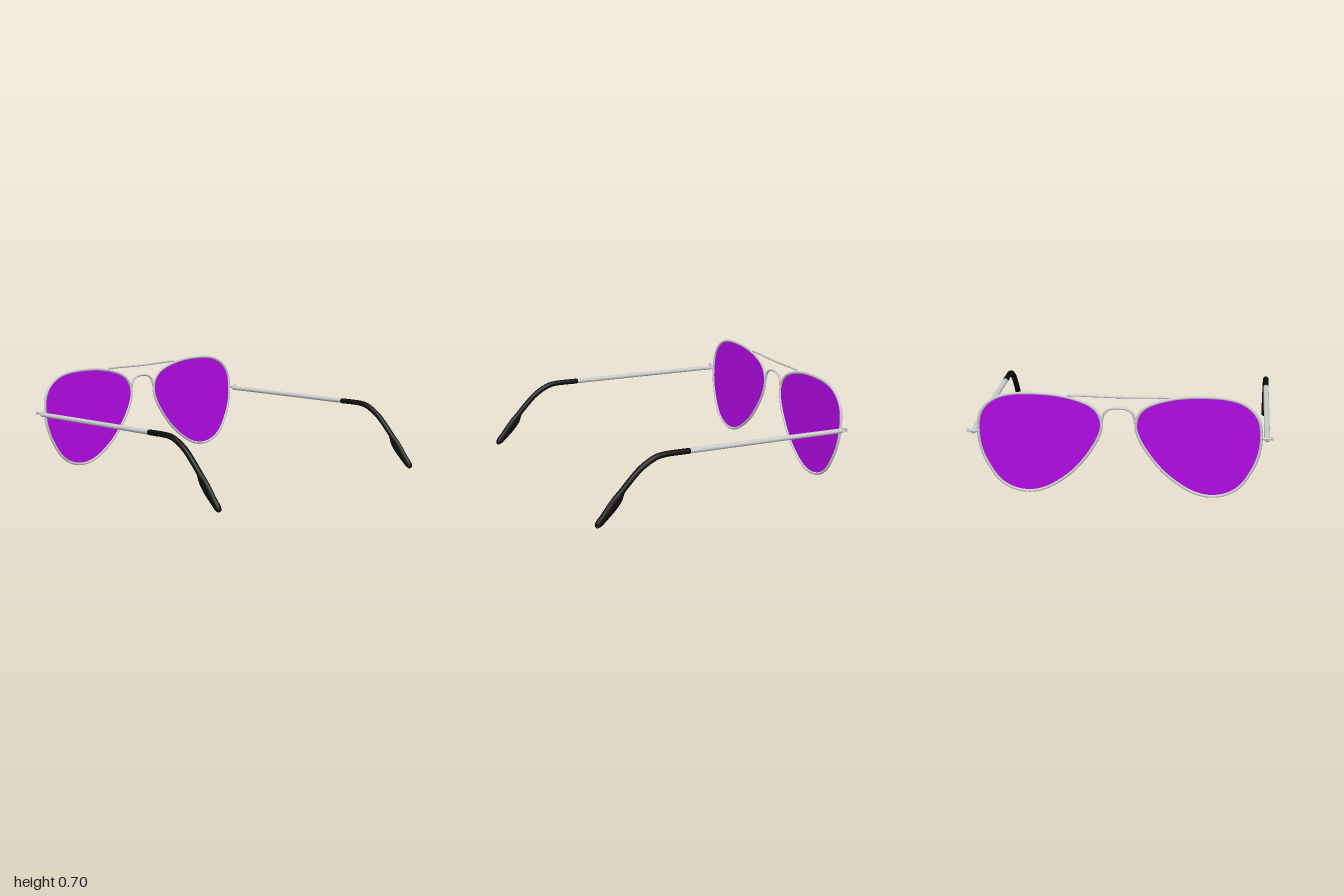
import * as THREE from 'three';

const metal = new THREE.MeshStandardMaterial({ color: 0xcccccc });
const black = new THREE.MeshStandardMaterial({ color: 0x0c0c0c });
const tint = new THREE.MeshStandardMaterial({ color: 0xb30ae6, side: THREE.DoubleSide });

// the front leans: everything in it lies on this tilted plane
const onFront = (x, y) => new THREE.Vector3(x, y, -0.891 - 0.058 * y);

function addMesh(parent, name, geometry, material) {
  const mesh = new THREE.Mesh(geometry, material);
  mesh.name = name;
  parent.add(mesh);
  return mesh;
}

// teardrop outline of one lens (wire centre line)
const OUTLINE = [
  [0.922, 0.41], [0.911, 0.54], [0.864, 0.618], [0.786, 0.671], [0.685, 0.696], [0.525, 0.702],
  [0.39, 0.691], [0.26, 0.66], [0.172, 0.618], [0.127, 0.564], [0.112, 0.487], [0.137, 0.4],
  [0.195, 0.3], [0.289, 0.183], [0.395, 0.095], [0.5, 0.037], [0.6, 0.017], [0.706, 0.036],
  [0.792, 0.093], [0.861, 0.197], [0.905, 0.303],
];

function wire(points, radius, closed = false, segments = 40) {
  const curve = new THREE.CatmullRomCurve3(points.map(([x, y]) => onFront(x, y)), closed);
  return new THREE.TubeGeometry(curve, segments, radius, 10, closed);
}

function lens(points) {
  const curve = new THREE.CatmullRomCurve3(points.map(([x, y]) => new THREE.Vector3(x, y, 0)), true);
  const shape = new THREE.Shape(curve.getPoints(100).slice(0, -1).map(p => new THREE.Vector2(p.x, p.y)));
  const geometry = new THREE.ShapeGeometry(shape);
  const pos = geometry.attributes.position;
  for (let i = 0; i < pos.count; i++) pos.setZ(i, onFront(0, pos.getY(i)).z);
  geometry.computeVertexNormals();
  return geometry;
}

// oval bar swept in the y-z plane; each section is [half height, y, z]
function sweptBar(sections, halfWidth, steps) {
  const curve = new THREE.CatmullRomCurve3(sections.map(s => new THREE.Vector3(...s)), false, 'centripetal');
  const sides = 16, verts = [], index = [];
  const ring = (c, t, k) => {
    for (let j = 0; j < sides; j++) {
      const a = (j / sides) * Math.PI * 2;
      const h = Math.sin(a) * c.x * k;
      verts.push(Math.cos(a) * halfWidth * k, c.y + t.z * h, c.z - t.y * h);
    }
  };
  // rounded ends: shrinking rings pushed outward
  const end = (u, sign, angles) => {
    const c = curve.getPoint(u), t = curve.getTangent(u).setX(0).normalize();
    for (const a of angles) {
      const p = c.clone().addScaledVector(t, sign * Math.sin(a) * 0.012);
      ring(p, t, Math.max(Math.cos(a), 0.001));
    }
  };
  end(0, -1, [Math.PI / 2, 1.1, 0.6]);
  for (let i = 0; i <= steps; i++) {
    ring(curve.getPoint(i / steps), curve.getTangent(i / steps).setX(0).normalize(), 1);
  }
  end(1, 1, [0.6, 1.1, Math.PI / 2]);
  const rings = verts.length / 3 / sides;
  for (let i = 0; i < rings - 1; i++) {
    for (let j = 0; j < sides; j++) {
      const a = i * sides + j, b = i * sides + (j + 1) % sides;
      index.push(a, b, a + sides, b, b + sides, a + sides);
    }
  }
  const geometry = new THREE.BufferGeometry();
  geometry.setAttribute('position', new THREE.Float32BufferAttribute(verts, 3));
  geometry.setIndex(index);
  geometry.computeVertexNormals();
  return geometry;
}

export function createModel() {
  const model = new THREE.Group();
  model.name = 'sunglasses';

  // bridge wires
  addMesh(model, 'browBar', wire([[-0.33, 0.694], [-0.24, 0.694], [0, 0.69], [0.24, 0.694], [0.33, 0.694]], 0.007), metal);
  addMesh(model, 'noseBridge', wire([
    [-0.114, 0.49], [-0.105, 0.54], [-0.09, 0.583], [-0.055, 0.607], [0, 0.615],
    [0.055, 0.607], [0.09, 0.583], [0.105, 0.54], [0.114, 0.49]], 0.008), metal);

  const arm = sweptBar([[0.016, 0.422, -0.9], [0.0165, 0.43, -0.5], [0.0175, 0.443, 0.25]], 0.019, 16);
  const tip = sweptBar([
    [0.019, 0.443, 0.26], [0.019, 0.444, 0.44], [0.02, 0.432, 0.5], [0.02, 0.376, 0.6],
    [0.02, 0.295, 0.685], [0.021, 0.24, 0.735], [0.034, 0.195, 0.765], [0.035, 0.145, 0.806],
    [0.029, 0.085, 0.86], [0.024, 0.045, 0.899], [0.016, 0.034, 0.909]], 0.02, 64);

  for (const [side, s] of [['left', 1], ['right', -1]]) {
    const outline = OUTLINE.map(([x, y]) => [x * s, y]);
    addMesh(model, side + 'Rim', wire(outline, 0.0095, true, 110), metal);
    addMesh(model, side + 'Lens', lens(outline), tint);

    // hinge: pin from rim past the arm, with a small end block
    const pin = addMesh(model, side + 'HingePin', new THREE.CylinderGeometry(0.008, 0.008, 0.07, 10), metal);
    pin.rotation.z = Math.PI / 2;
    pin.position.set(s * 0.955, 0.433, -0.918);
    const block = addMesh(model, side + 'HingeBlock', new THREE.BoxGeometry(0.014, 0.024, 0.014), metal);
    block.position.set(s * 0.992, 0.433, -0.918);

    // temple arm and its dark ear tip
    addMesh(model, side + 'Arm', arm, metal).position.x = s * 0.96;
    addMesh(model, side + 'EarTip', tip, black).position.x = s * 0.96;
  }
  return model;
}
